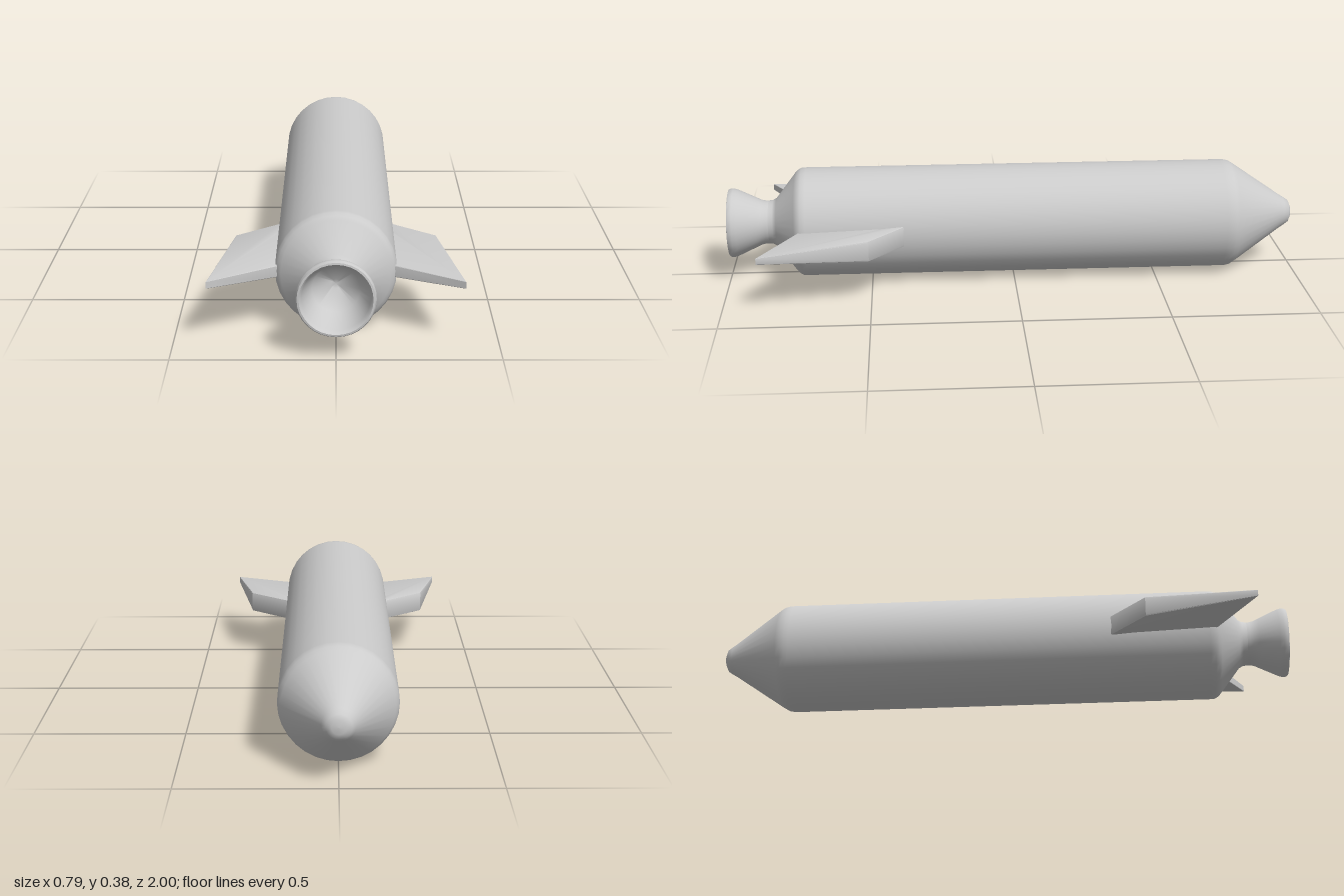
import * as THREE from 'three';
import { toCreasedNormals } from 'three/addons/utils/BufferGeometryUtils.js';

const RADIUS = 0.191;
const grey = () => new THREE.MeshStandardMaterial({ color: 0xcccccc });

// Revolve [radius, z] pairs around the z axis
function revolve(name, profile, crease) {
  const points = profile.map(([r, z]) => new THREE.Vector2(r, z));
  let geometry = new THREE.LatheGeometry(points, 32).rotateX(Math.PI / 2);
  if (crease) geometry = toCreasedNormals(geometry, crease);
  const mesh = new THREE.Mesh(geometry, grey());
  mesh.name = name;
  return mesh;
}

// Swept fin: thick leading edge, thin trailing tip, softened edges
function finGeometry() {
  const outline = [[0.12, 0.33], [0.19, 0.388], [0.325, 0.505], [0.395, 0.875], [0.18, 0.75], [0.12, 0.715]];
  const shape = new THREE.Shape(outline.map(([x, z]) => new THREE.Vector2(x, z)));
  const geometry = new THREE.ExtrudeGeometry(shape, {
    depth: 0.062, bevelThickness: 0.005, bevelSize: 0.005, bevelOffset: -0.005, bevelSegments: 2,
  });
  geometry.translate(0, 0, -0.031);
  const p = geometry.attributes.position;
  for (let i = 0; i < p.count; i++) {
    const t = THREE.MathUtils.clamp((p.getY(i) - 0.505) / 0.37, 0, 1);
    p.setZ(i, p.getZ(i) * THREE.MathUtils.lerp(1, 0.33, t));
  }
  geometry.rotateX(Math.PI / 2);
  return toCreasedNormals(geometry, 0.6);
}

export function createModel() {
  const rocket = new THREE.Group();
  rocket.name = 'rocket';

  // Hull with blunt nose cone and tapered tail
  rocket.add(revolve('hull', [
    [0, -1], [0.022, -0.999], [0.04, -0.991], [0.053, -0.972],
    [0.06, -0.96], [0.178, -0.788], [0.187, -0.773], [RADIUS, -0.755],
    [RADIUS, -0.74], [RADIUS, 0.725], [0.19, 0.742], [0.183, 0.755],
    [0.172, 0.765], [0.085, 0.832], [0.078, 0.845], [0.076, 0.86],
  ]));

  // Engine bell, open towards the front, with a conical throat
  rocket.add(revolve('engineBell', [
    [0.076, 0.84], [0.076, 0.87], [0.079, 0.885], [0.086, 0.9], [0.117, 0.968],
    [0.121, 0.982], [0.121, 0.992], [0.117, 0.999], [0.111, 1],
    [0.106, 0.994], [0.103, 0.982], [0.073, 0.905], [0.015, 0.86], [0, 0.858],
  ], 0.7));

  // A fin on each side
  const geometry = finGeometry();
  for (const [name, angle] of [['leftFin', 0], ['rightFin', Math.PI]]) {
    const fin = new THREE.Mesh(geometry, grey());
    fin.name = name;
    fin.rotation.z = angle;
    rocket.add(fin);
  }

  // Rest the hull on the ground
  rocket.children.forEach((part) => { part.position.y = RADIUS; });
  return rocket;
}
